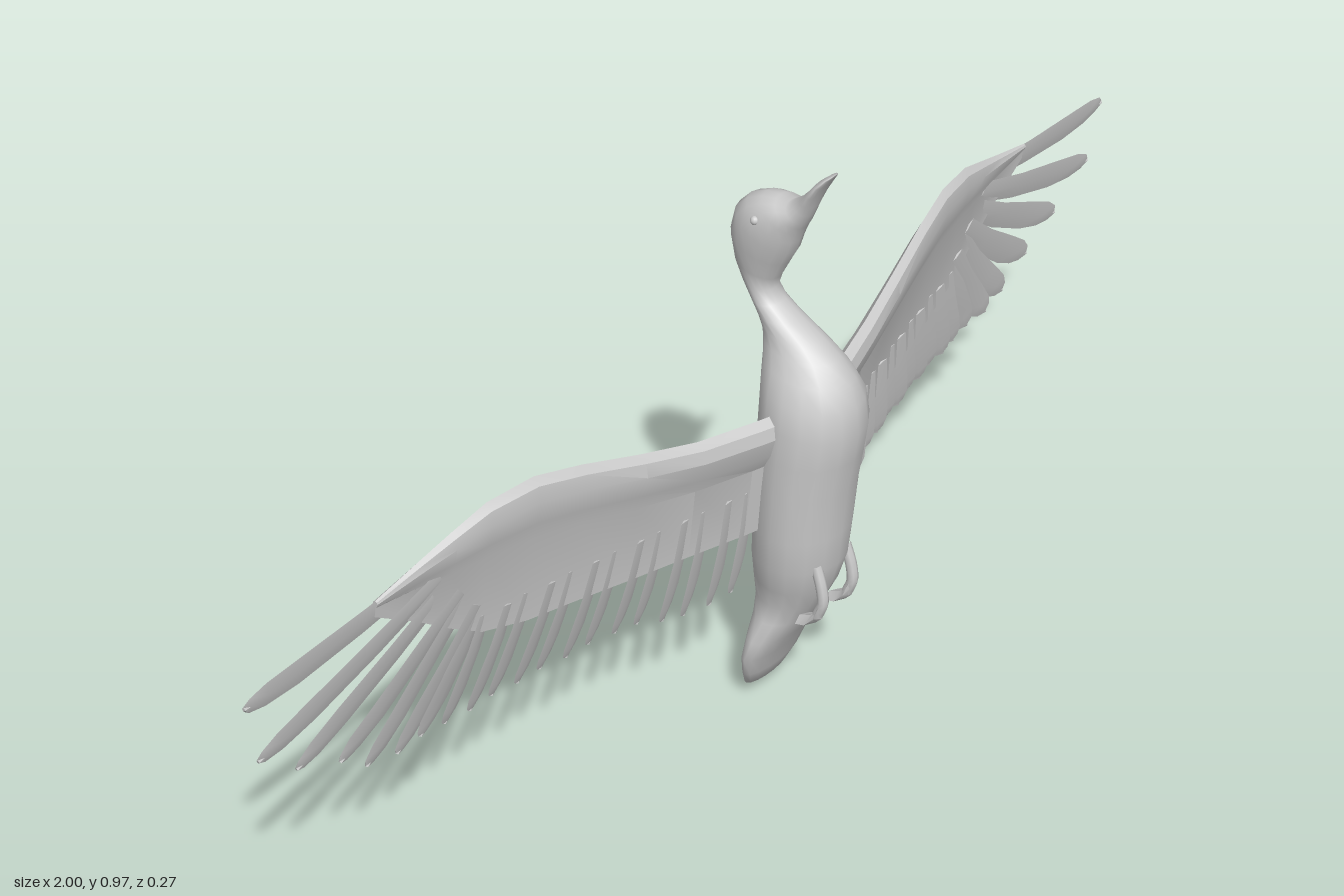
import * as THREE from 'three';
import { toCreasedNormals } from 'three/addons/utils/BufferGeometryUtils.js';

const grey = new THREE.MeshStandardMaterial({ color: 0xcccccc });
grey.name = 'pale grey';

// Closed skin over a row of equal-sized rings of [x, y, z] points, capped at both ends
function loft(rings, mirror = 1) {
  const n = rings[0].length;
  const middle = ring => [0, 1, 2].map(k => ring.reduce((s, p) => s + p[k], 0) / n);
  const pts = [...rings.flat(), middle(rings[0]), middle(rings[rings.length - 1])]
    .map(([x, y, z]) => new THREE.Vector3(x * mirror, y, z));
  const tris = [];
  const last = (rings.length - 1) * n, c0 = rings.length * n;
  for (let j = 0; j < n; j++) {
    const k = (j + 1) % n;
    for (let i = 0; i < last; i += n) {
      tris.push([i + j, i + k, i + n + j], [i + k, i + n + k, i + n + j]);
    }
    tris.push([c0, k, j], [c0 + 1, last + j, last + k]);
  }
  // turn the faces outward if the enclosed volume comes out negative
  const volume = tris.reduce((s, [a, b, c]) =>
    s + pts[a].dot(new THREE.Vector3().crossVectors(pts[b], pts[c])), 0);
  if (volume < 0) tris.forEach(t => t.reverse());
  const geo = new THREE.BufferGeometry().setFromPoints(pts);
  geo.setIndex(tris.flat());
  geo.computeVertexNormals();
  return geo;
}

function add(parent, name, geo) {
  const mesh = new THREE.Mesh(geo, grey);
  mesh.name = name;
  parent.add(mesh);
  return mesh;
}

// Oval ring between a front point and a back point, w = half width
function oval([yF, zF, yB, zB, w]) {
  return Array.from({ length: 16 }, (_, i) => {
    const a = i / 16 * Math.PI * 2, m = (1 + Math.cos(a)) / 2;
    return [w * Math.sin(a), yB + (yF - yB) * m, zB + (zF - zB) * m];
  });
}

// Linear interpolation in a list of [key, value]
function lerpTable(table, x) {
  for (let i = 1; i < table.length; i++) {
    const [x0, v0] = table[i - 1], [x1, v1] = table[i];
    if (x <= x1) return v0 + (v1 - v0) * Math.max(0, (x - x0) / (x1 - x0));
  }
  return table[table.length - 1][1];
}

// Sections: front y, front z, back y, back z, half width
const TAIL = [
  [0, -0.058, 0.002, -0.062, 0.008], [0.03, -0.024, 0.025, -0.056, 0.05],
  [0.06, -0.01, 0.06, -0.05, 0.067], [0.1, 0.005, 0.1, -0.045, 0.08],
  [0.14, 0.028, 0.14, -0.042, 0.078], [0.175, 0.047, 0.175, -0.042, 0.062],
];
const TORSO = [
  [0.21, 0.066, 0.21, -0.043, 0.057], [0.25, 0.085, 0.25, -0.044, 0.067],
  [0.3, 0.1, 0.3, -0.044, 0.078], [0.36, 0.106, 0.36, -0.04, 0.082],
  [0.44, 0.115, 0.44, -0.036, 0.084], [0.5, 0.126, 0.51, -0.033, 0.084],
  [0.55, 0.134, 0.57, -0.03, 0.082], [0.595, 0.13, 0.615, -0.03, 0.074],
  [0.63, 0.116, 0.645, -0.031, 0.058], [0.66, 0.092, 0.668, -0.034, 0.044],
  [0.682, 0.062, 0.686, -0.037, 0.036], [0.705, 0.022, 0.703, -0.043, 0.031],
  [0.725, -0.007, 0.722, -0.054, 0.028], [0.745, -0.019, 0.75, -0.072, 0.026],
];
const HEAD = [
  [0.765, -0.012, 0.785, -0.087, 0.03], [0.795, 0.004, 0.83, -0.093, 0.038],
  [0.82, 0.018, 0.868, -0.083, 0.041], [0.84, 0.024, 0.89, -0.062, 0.04],
  [0.856, 0.03, 0.902, -0.035, 0.036], [0.867, 0.035, 0.905, -0.01, 0.031],
];
const BILL = [
  [0.878, 0.041, 0.902, 0.008, 0.026], [0.893, 0.048, 0.91, 0.021, 0.022],
  [0.91, 0.055, 0.919, 0.032, 0.021], [0.93, 0.063, 0.932, 0.044, 0.023],
  [0.95, 0.074, 0.953, 0.061, 0.022], [0.964, 0.083, 0.966, 0.076, 0.015],
  [0.97, 0.087, 0.97, 0.084, 0.006],
];

// Wing outline and sweep: leading edge, trailing edge, depth, thickness by x
const LEAD = [[0.04, 0.575], [0.2, 0.59], [0.3, 0.615], [0.4, 0.645], [0.48, 0.664],
  [0.56, 0.66], [0.65, 0.63], [0.75, 0.605], [0.85, 0.592], [1, 0.58]];
const TRAIL = [[0.04, 0.36], [0.3, 0.38], [0.5, 0.4], [0.58, 0.43], [0.66, 0.5], [0.76, 0.575]];
const DEPTH = [[0.04, 0.035], [0.08, 0.027], [0.2, -0.004], [0.35, -0.038], [0.5, -0.068],
  [0.65, -0.094], [0.8, -0.103], [1, -0.104]];
const THICK = [[0.04, 0.022], [0.3, 0.018], [0.55, 0.015], [0.76, 0.005]];
const STATIONS = [0.04, 0.1, 0.2, 0.3, 0.4, 0.48, 0.56, 0.62, 0.68, 0.76];
// Chord position and depth in units of thickness: underside first, then back
const AIRFOIL = [[0, 0], [0.05, 0.7], [0.15, 1], [0.3, 0.75], [0.42, 0.2], [1, 0.15],
  [1, -0.25], [0.62, -0.6], [0.34, -0.9], [0.12, -0.75]];

const wingZ = (x, y) => lerpTable(DEPTH, x) - 0.115 * (lerpTable(LEAD, x) - y);

function wingPanel(side) {
  const rings = STATIONS.map(x => {
    const top = lerpTable(LEAD, x), low = lerpTable(TRAIL, x), th = lerpTable(THICK, x);
    return AIRFOIL.map(([f, d]) => {
      const y = top + (low - top) * f;
      return [x, y, wingZ(x, y) + d * th];
    });
  });
  return toCreasedNormals(loft(rings, side), 0.35);
}

// Thin round-tipped blade, slightly bowed and tilted so neighbours overlap
function feather([bx, by, tx, ty], half, side, lift) {
  const len = Math.hypot(tx - bx, ty - by);
  const nx = -(ty - by) / len, ny = (tx - bx) / len;
  const rings = [[0, 0.75], [0.35, 0.9], [0.7, 1], [0.88, 0.88], [0.97, 0.55], [1, 0.15]].map(([t, s]) => {
    const bow = -0.03 * len * Math.sin(Math.PI * t);
    const cx = bx + (tx - bx) * t + nx * bow, cy = by + (ty - by) * t + ny * bow;
    const z = wingZ(cx, cy) + lift, w = half * s;
    return [
      [cx + nx * w, cy + ny * w, z + 0.006 * s], [cx, cy, z + 0.003],
      [cx - nx * w, cy - ny * w, z - 0.006 * s], [cx, cy, z - 0.003],
    ];
  });
  return toCreasedNormals(loft(rings, side), 0.5);
}

// Flight feathers: base x, base y, tip x, tip y
const PRIMARIES = [
  [0.56, 0.47, 0.665, 0.285], [0.57, 0.48, 0.715, 0.288], [0.59, 0.5, 0.77, 0.3],
  [0.6, 0.52, 0.825, 0.35], [0.62, 0.545, 0.905, 0.393], [0.64, 0.57, 0.98, 0.465],
  [0.66, 0.595, 1, 0.572],
];

function wing(side) {
  const g = new THREE.Group();
  g.name = side > 0 ? 'leftWing' : 'rightWing';
  add(g, 'wingPanel', wingPanel(side));
  for (let i = 0; i < 13; i++) {
    const bx = 0.095 + i * 0.038, tx = 0.11 + i * 0.0425;
    const ty = lerpTable([[0.1, 0.255], [0.2, 0.252], [0.3, 0.288], [0.62, 0.28]], tx);
    add(g, 'secondaryFeather', feather([bx, 0.45, tx, ty], 0.023, side, i % 2 * 0.004 - 0.002));
  }
  PRIMARIES.forEach((p, i) =>
    add(g, 'primaryFeather', feather(p, 0.026, side, i % 2 * 0.004 - 0.002)));
  return g;
}

// Tucked leg with a webbed foot
function leg(side) {
  const g = new THREE.Group();
  g.name = side > 0 ? 'leftLeg' : 'rightLeg';
  const path = new THREE.CatmullRomCurve3([[0.036, 0.31, 0.085], [0.037, 0.275, 0.096],
    [0.037, 0.245, 0.099], [0.037, 0.22, 0.09]].map(([x, y, z]) => new THREE.Vector3(x * side, y, z)));
  add(g, 'shank', new THREE.TubeGeometry(path, 10, 0.009, 8));
  const web = [[0.245, 0.099, 0.008], [0.22, 0.092, 0.016], [0.207, 0.08, 0.022], [0.198, 0.06, 0.018]]
    .map(([y, z, w]) => [[0.037 - w, y, z], [0.037, y - 0.005, z + 0.006],
      [0.037 + w, y, z], [0.037, y + 0.004, z - 0.005]]);
  add(g, 'webbedFoot', toCreasedNormals(loft(web, side), 0.5));
  return g;
}

export function createModel() {
  const bird = new THREE.Group();
  bird.name = 'flyingDuck';
  // one unbroken skin from tail tip to bill tip
  add(bird, 'body', loft([...TAIL, ...TORSO, ...HEAD, ...BILL].map(oval)));
  for (const side of [1, -1]) {
    bird.add(wing(side), leg(side));
    const eye = add(bird, 'eye', new THREE.SphereGeometry(0.007, 12, 8));
    eye.position.set(side * 0.036, 0.872, -0.028);
  }
  return bird;
}
